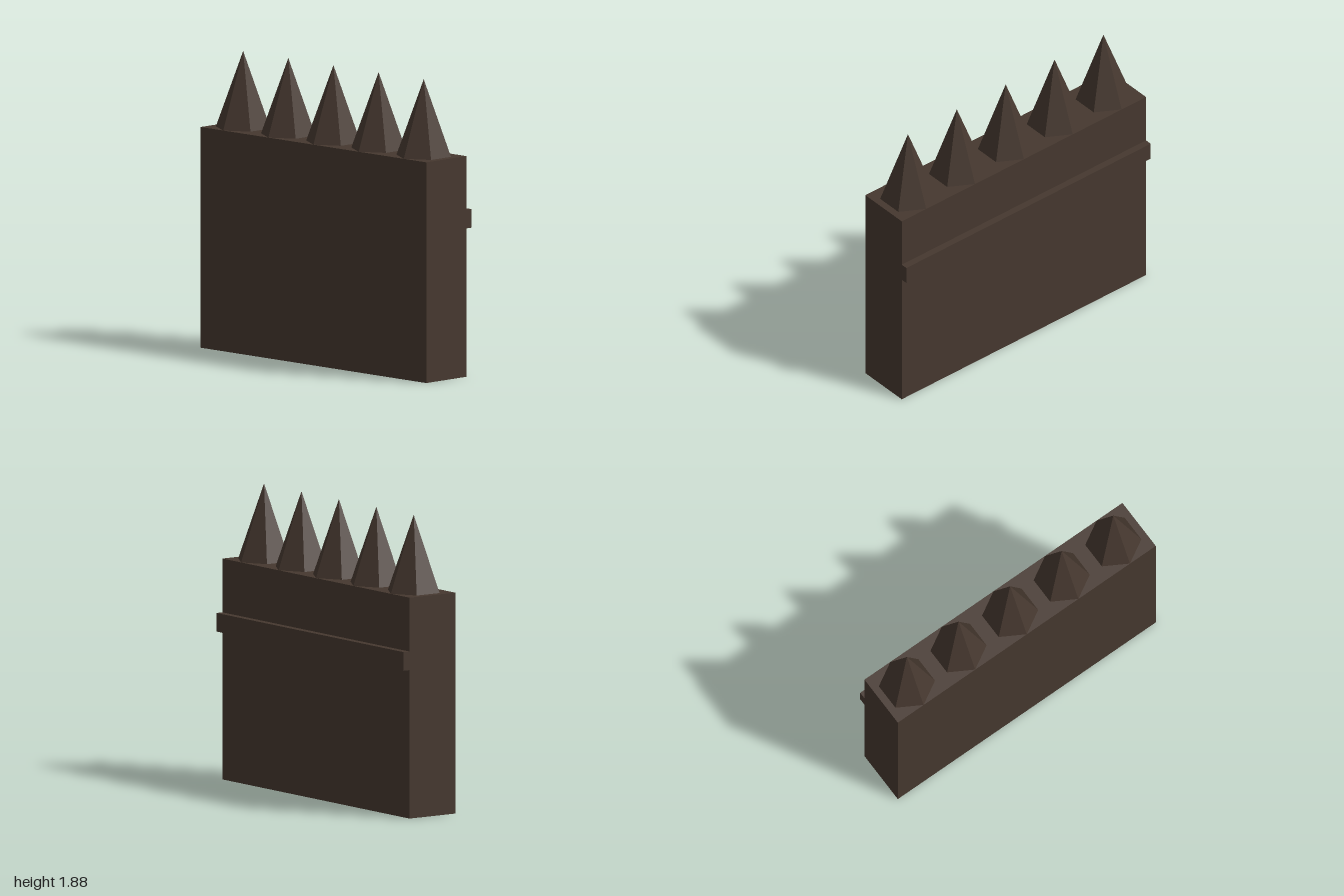
import * as THREE from 'three';

export function createModel() {
  const group = new THREE.Group();
  const darkWood = new THREE.MeshStandardMaterial({ color: 0x46382f });
  darkWood.name = 'darkWood';

  function add(name, geometry, x, y, z) {
    const mesh = new THREE.Mesh(geometry, darkWood);
    mesh.name = name;
    mesh.position.set(x, y, z);
    group.add(mesh);
  }

  // Solid wall slab
  add('wall', new THREE.BoxGeometry(2, 1.4, 0.355), 0, 0.7, 0.0225);

  // Horizontal rail across the back
  add('backRail', new THREE.BoxGeometry(2, 0.118, 0.045), 0, 1.0, -0.1775);

  // Row of six-sided spikes, faceted by unsharing their vertices
  const spike = new THREE.ConeGeometry(0.177, 0.485, 6).toNonIndexed();
  spike.computeVertexNormals();
  for (let i = 0; i < 5; i++) {
    add(`spike${i + 1}`, spike, -0.8 + i * 0.4, 1.6425, 0.0225);
  }

  return group;
}
